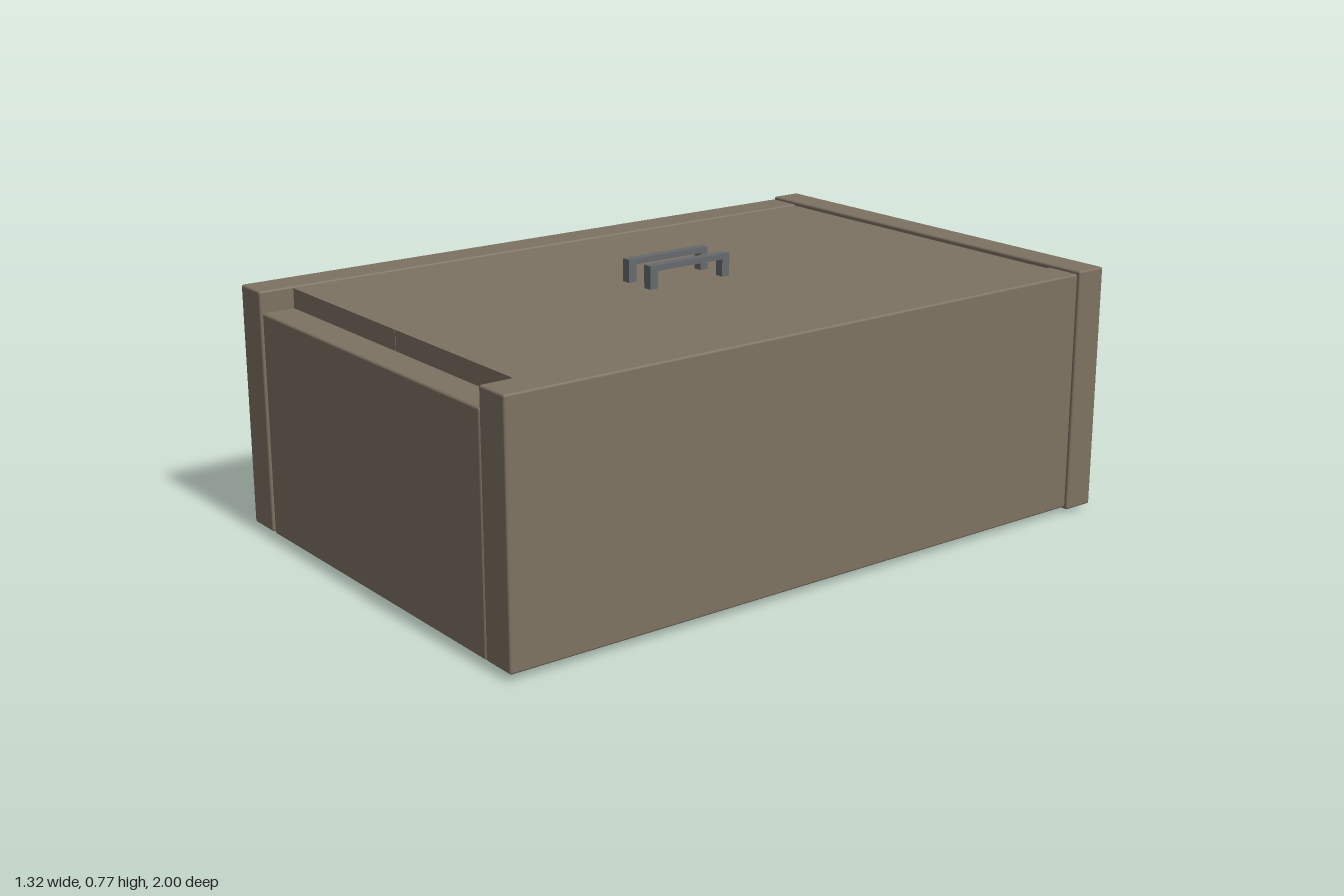
import * as THREE from 'three';
import { RoundedBoxGeometry } from 'three/addons/geometries/RoundedBoxGeometry.js';

const wood = new THREE.MeshStandardMaterial({ color: 0x7d7262 });
const sheet = new THREE.MeshStandardMaterial({ color: 0x999999 });
const metal = new THREE.MeshStandardMaterial({ color: 0x666a6d });

// Box given by its extents on each axis, with an optional rounded edge
function block(name, material, [x0, x1], [y0, y1], [z0, z1], radius = 0) {
  const size = [x1 - x0, y1 - y0, z1 - z0];
  const geometry = radius
    ? new RoundedBoxGeometry(...size, 2, radius)
    : new THREE.BoxGeometry(...size);
  const mesh = new THREE.Mesh(geometry, material);
  mesh.name = name;
  mesh.position.set((x0 + x1) / 2, (y0 + y1) / 2, (z0 + z1) / 2);
  return mesh;
}

// Square pull handle standing on a door
function handle(name, x) {
  const group = new THREE.Group();
  group.name = name;
  const wide = [x - 0.014, x + 0.014];
  group.add(
    block('handleBar', metal, wide, [0.753, 0.769], [-0.132, 0.142]),
    block('handleRearPost', metal, wide, [0.704, 0.753], [-0.132, -0.107]),
    block('handleFrontPost', metal, wide, [0.704, 0.753], [0.117, 0.142])
  );
  return group;
}

export function createModel() {
  const cabinet = new THREE.Group();
  cabinet.name = 'cabinetLyingOnItsBack';

  // Carcass: the cabinet top lies at the rear, its base at the front
  cabinet.add(
    block('topPanel', wood, [-0.66, 0.66], [0.01, 0.715], [-1, -0.905], 0.006),
    block('basePanel', wood, [-0.544, 0.544], [0.016, 0.65], [0.9, 0.997], 0.007),
    block('backSheet', sheet, [-0.59, 0.59], [0, 0.018], [-0.865, 0.925])
  );

  // Mirrored sides, doors and handles
  for (const [side, s] of [['left', 1], ['right', -1]]) {
    const span = (a, b) => (s > 0 ? [a, b] : [-b, -a]);
    cabinet.add(
      block(side + 'SidePanel', wood, span(0.549, 0.656), [0.019, 0.708], [-0.902, 1], 0.006),
      block(side + 'Door', wood, span(0.001, 0.545), [0.648, 0.704], [-0.897, 0.9]),
      handle(side + 'Handle', s * 0.049)
    );
  }
  return cabinet;
}
